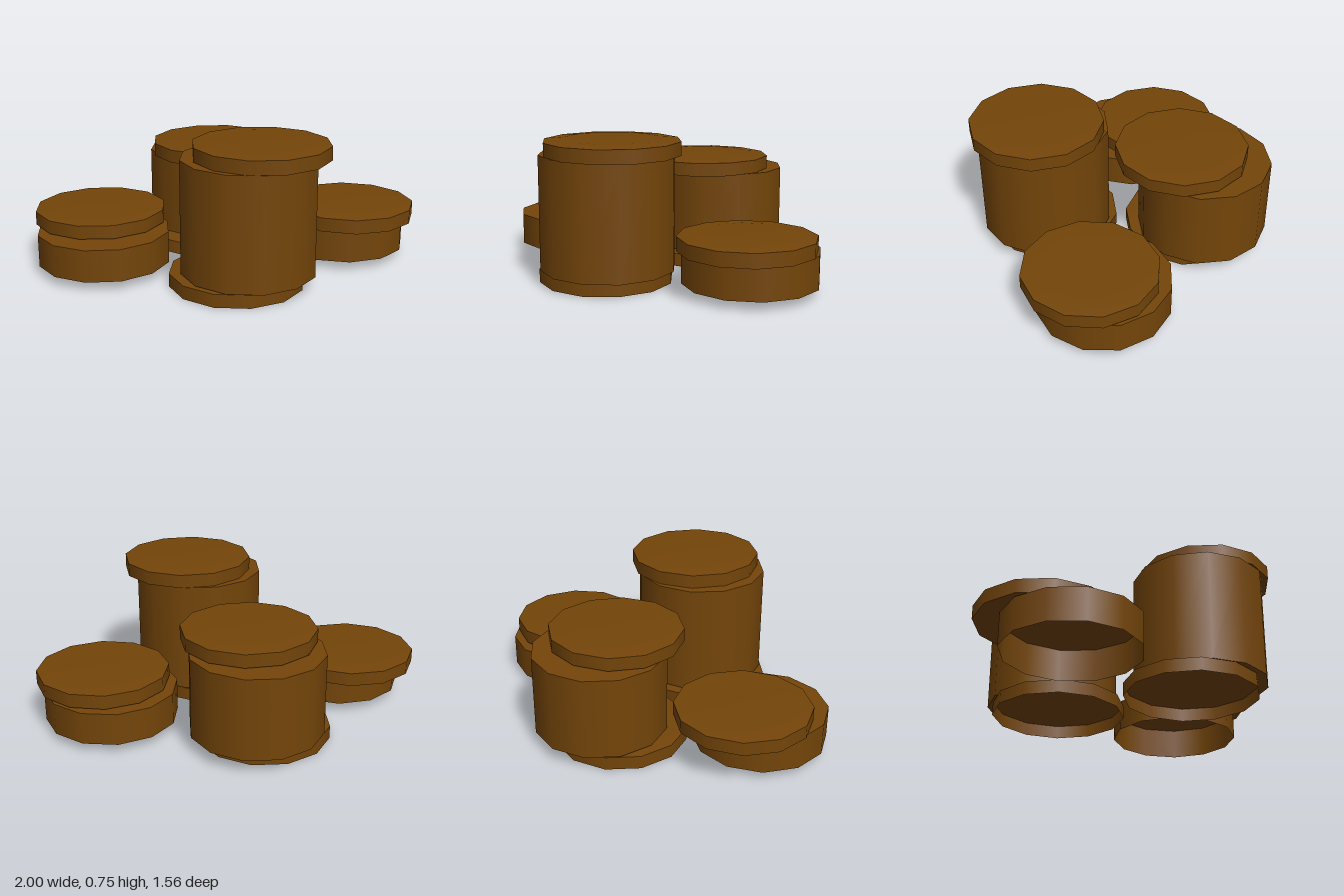
import * as THREE from 'three';
import { mergeGeometries } from 'three/addons/utils/BufferGeometryUtils.js';

const R = 0.346, SIDES = 12;

// Twelve-sided thin-walled disc with crisp rims; ends may be slightly domed,
// and the underside is left open when domeBottom is null
function discGeometry(y0, y1, domeTop, domeBottom) {
  const v = (x, y) => new THREE.Vector2(x, y);
  const wall = new THREE.CylinderGeometry(R, R, y1 - y0, SIDES, 1, true);
  wall.translate(0, (y0 + y1) / 2, 0);
  const parts = [wall, new THREE.LatheGeometry([v(R, y1), v(0.24, y1 + domeTop), v(0, y1 + domeTop)], SIDES)];
  if (domeBottom !== null) {
    parts.push(new THREE.LatheGeometry([v(0, y0 - domeBottom), v(0.24, y0 - domeBottom), v(R, y0)], SIDES));
  }
  return mergeGeometries(parts);
}

export function createModel() {
  const brown = new THREE.MeshStandardMaterial({ color: 0x744509, side: THREE.DoubleSide });
  brown.name = 'brown';
  const model = new THREE.Group();
  model.name = 'stacks';

  // Each part: name, x, z, bottom, top, turn in degrees, top dome, bottom dome (null = open)
  const stacks = {
    frontStack: [
      ['base', -0.06, 0.37, 0, 0.069, 7, 0.008, null],
      ['body', -0.01, 0.41, 0.078, 0.663, 7, 0, 0],
      ['lid', 0.045, 0.433, 0.665, 0.735, 0, 0.01, 0.004],
    ],
    backStack: [
      ['base', -0.02, -0.37, 0, 0.069, 7, 0.008, null],
      ['body', 0.055, -0.438, 0.078, 0.505, 7, 0, 0],
      ['lid', 0.04, -0.315, 0.511, 0.58, 0, 0.01, 0.008],
    ],
    rightStack: [
      ['body', -0.655, -0.043, 0.047, 0.215, -2.5, 0, null],
      ['lid', -0.64, -0.192, 0.221, 0.291, 0, 0.01, 0.005],
    ],
    leftStack: [
      ['body', 0.64, 0.08, 0.047, 0.215, 15, 0, null],
      ['lid', 0.66, 0.142, 0.221, 0.294, -12, 0.01, 0.005],
    ],
  };

  for (const [stackName, parts] of Object.entries(stacks)) {
    const stack = new THREE.Group();
    stack.name = stackName;
    for (const [name, x, z, y0, y1, turn, domeTop, domeBottom] of parts) {
      const mesh = new THREE.Mesh(discGeometry(y0, y1, domeTop, domeBottom), brown);
      mesh.name = name;
      mesh.position.set(x, 0, z);
      mesh.rotation.y = -THREE.MathUtils.degToRad(turn);
      stack.add(mesh);
    }
    model.add(stack);
  }
  return model;
}
